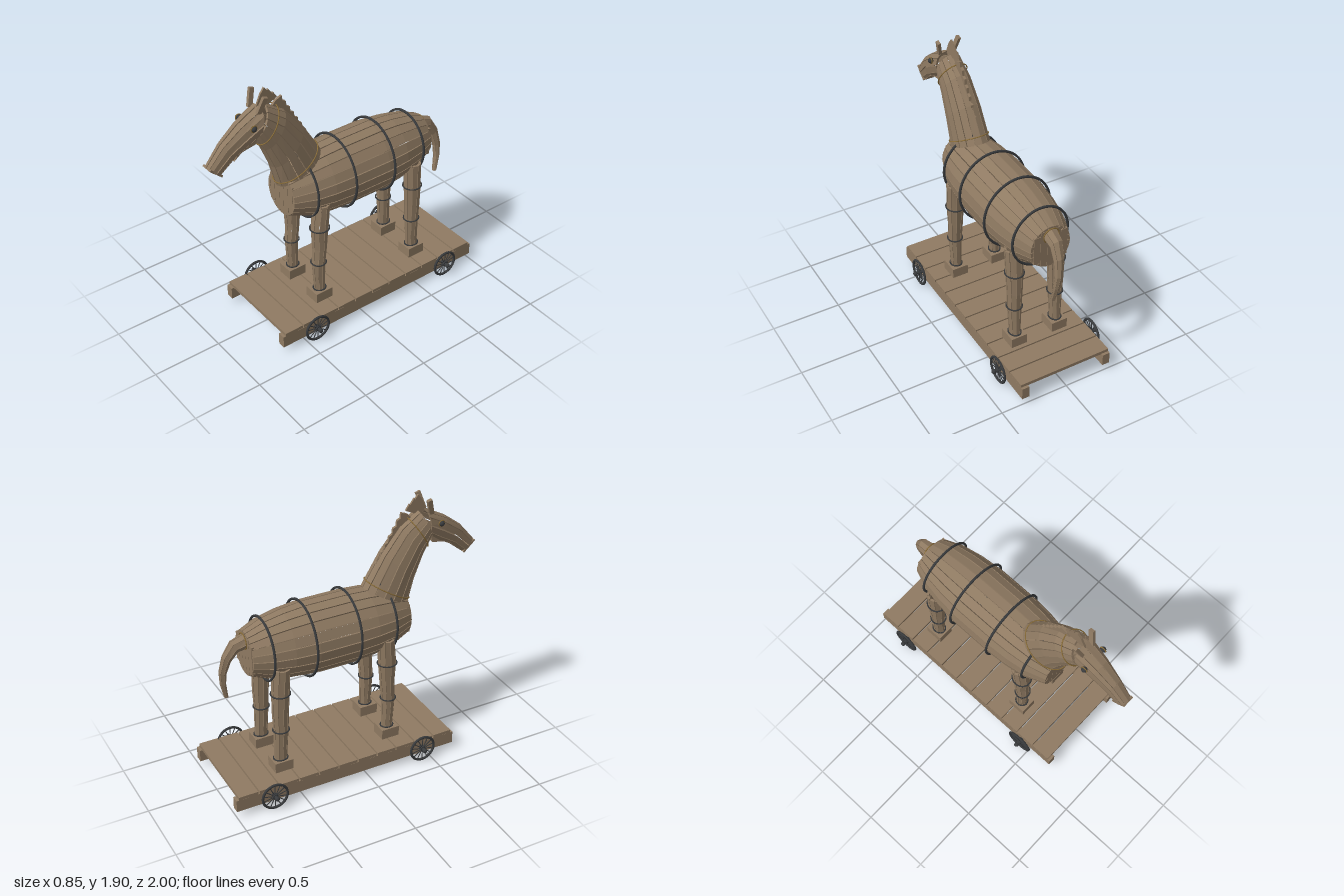
import * as THREE from 'three';

const wood = new THREE.MeshStandardMaterial({ color: 0x8f7a62 });
wood.name = 'wood';
const iron = new THREE.MeshStandardMaterial({ color: 0x393b3d });
iron.name = 'iron';
const rope = new THREE.MeshStandardMaterial({ color: 0x8c6f3a });
rope.name = 'rope';

function add(parent, name, geo, mat, x = 0, y = 0, z = 0) {
  const m = new THREE.Mesh(geo, mat);
  m.name = name;
  m.position.set(x, y, z);
  parent.add(m);
  return m;
}
const box = (w, h, d) => new THREE.BoxGeometry(w, h, d);

// A section is [x, z1, y1, z2, y2, halfWidth]: an ellipse between two points of the side plane.
function pointOn([x, z1, y1, z2, y2, hw], a, inset, power = 1) {
  const hv = Math.hypot(z1 - z2, y1 - y2) / 2;
  const sq = (v) => Math.sign(v) * Math.abs(v) ** power;
  const s = sq(Math.sin(a)) * (hv - inset) / hv / 2;
  return new THREE.Vector3(
    x + sq(Math.cos(a)) * (hw - inset),
    (y1 + y2) / 2 + s * (y1 - y2),
    (z1 + z2) / 2 + s * (z1 - z2));
}

// Separate flat planks around a row of sections, with open gaps between them
function staves(sections, n, gap, thick, power = 1) {
  const [A, B] = sections;
  const w = [(B[2] + B[4] - A[2] - A[4]), (B[1] + B[3] - A[1] - A[3])];
  const flip = -(A[1] - A[3]) * w[0] + (A[2] - A[4]) * w[1] < 0;
  const pos = [];
  const tri = (a, b, c) => { for (const p of flip ? [a, c, b] : [a, b, c]) pos.push(p.x, p.y, p.z); };
  const quad = (a, b, c, d) => { tri(a, b, c); tri(a, c, d); };
  for (let i = 0; i < n; i++) {
    const a0 = (i + gap / 2) / n * Math.PI * 2, a1 = (i + 1 - gap / 2) / n * Math.PI * 2;
    const rings = sections.map((s) => [
      pointOn(s, a0, 0, power), pointOn(s, a1, 0, power),
      pointOn(s, a1, thick, power), pointOn(s, a0, thick, power)]);
    for (let k = 0; k + 1 < rings.length; k++) {
      const p = rings[k], q = rings[k + 1];
      for (let j = 0; j < 4; j++) {
        const m = (j + 1) % 4;
        quad(p[j], p[m], q[m], q[j]);
      }
    }
    const s = rings[0], e = rings[rings.length - 1];
    quad(s[3], s[2], s[1], s[0]);
    quad(e[0], e[1], e[2], e[3]);
  }
  const g = new THREE.BufferGeometry();
  g.setAttribute('position', new THREE.Float32BufferAttribute(pos, 3));
  g.computeVertexNormals();
  return g;
}

// A hoop following a section
function hoop(section, tube, out = 0.004) {
  const pts = [];
  for (let i = 0; i < 24; i++) pts.push(pointOn(section, i / 24 * Math.PI * 2, -out));
  return new THREE.TubeGeometry(new THREE.CatmullRomCurve3(pts, true), 48, tube, 6, true);
}

// A thin plate cut from an outline in the side plane (z, y)
function sidePlate(outline, t) {
  const g = new THREE.ExtrudeGeometry(
    new THREE.Shape(outline.map(([z, y]) => new THREE.Vector2(z, y))), { depth: t, bevelEnabled: false });
  return g.translate(0, 0, -t / 2).rotateY(-Math.PI / 2);
}

function makeCart() {
  const g = new THREE.Group();
  g.name = 'cart';
  for (const s of [-1, 1]) add(g, 'rail', box(0.055, 0.09, 1.69), wood, s * 0.318, 0.095, -0.153);
  for (let i = 0; i < 11; i++) add(g, 'deckPlank', box(0.69, 0.025, 0.141), wood, 0, 0.15, -0.908 + i * 0.151);
  for (const z of [0.425, -0.728]) {
    add(g, 'axle', new THREE.CylinderGeometry(0.013, 0.013, 0.8, 10).rotateZ(Math.PI / 2), iron, 0, 0.104, z);
    for (const s of [-1, 1]) {
      add(g, 'axleKnob', new THREE.SphereGeometry(0.017, 12, 8), iron, s * 0.407, 0.104, z);
      const wheel = new THREE.Group();
      wheel.name = 'wheel';
      wheel.position.set(s * 0.375, 0.104, z);
      wheel.rotation.y = Math.PI / 2;
      add(wheel, 'rim', new THREE.TorusGeometry(0.092, 0.009, 8, 32), iron);
      add(wheel, 'hub', new THREE.CylinderGeometry(0.02, 0.02, 0.022, 12).rotateX(Math.PI / 2), iron);
      for (let i = 0; i < 14; i++) {
        add(wheel, 'spoke', new THREE.CylinderGeometry(0.0035, 0.0035, 0.09, 5).translate(0, 0.047, 0), iron)
          .rotation.z = i / 14 * Math.PI * 2;
      }
      g.add(wheel);
    }
  }
  return g;
}

function makeBody() {
  const g = new THREE.Group();
  g.name = 'body';
  const ring = (z, r) => [0, z, 1.04 + r, z, 1.04 - r, r * 0.925];
  const profile = [[-0.745, 0.16], [-0.62, 0.212], [-0.47, 0.243], [-0.3, 0.26], [0, 0.26], [0.15, 0.25], [0.29, 0.226], [0.44, 0.163]];
  add(g, 'hullStaves', staves(profile.map(([z, r]) => ring(z, r)), 22, 0.1, 0.02), wood);
  for (const [z, r] of [[0.29, 0.23], [0, 0.268], [-0.33, 0.268], [-0.62, 0.222]])
    add(g, 'hullHoop', hoop(ring(z, r), 0.009), iron);
  // upright boards closing both ends
  for (const z of [0.43, -0.738]) {
    for (let i = -2; i <= 2; i++) {
      const h = 2 * Math.sqrt(0.145 ** 2 - (i * 0.05) ** 2);
      add(g, 'endBoard', box(0.048, h, 0.02), wood, i * 0.05, 1.04, z);
    }
  }
  // belly hatch
  for (const x of [-0.045, 0, 0.045]) add(g, 'hatchBoard', box(0.043, 0.014, 0.27), wood, x, 0.78, -0.095);
  return g;
}

function makeLeg(side, rows) {
  const g = new THREE.Group();
  g.name = 'leg';
  const at = ([y, z0, z1, hw]) => [side * 0.16, z1, y, z0, y, hw];
  add(g, 'legStaves', staves(rows.map(at), 10, 0.1, 0.016), wood);
  for (const i of [0, 2, 4]) add(g, 'legBand', hoop(at(rows[i]), 0.005), iron);
  const z = (rows[0][1] + rows[0][2]) / 2;
  add(g, 'hoof', box(0.12, 0.075, 0.135), wood, side * 0.16, 0.2, z);
  return g;
}

function makeNeckAndHead() {
  const g = new THREE.Group();
  g.name = 'neckAndHead';
  add(g, 'neckStaves', staves([
    [0, 0.135, 1.3, 0.475, 1.12, 0.125],
    [0, 0.275, 1.53, 0.52, 1.29, 0.117],
    [0, 0.41, 1.695, 0.585, 1.45, 0.105],
    [0, 0.55, 1.785, 0.65, 1.575, 0.092]], 16, 0.1, 0.018), wood);
  add(g, 'neckRope', hoop([0, 0.47, 1.745, 0.617, 1.51, 0.1], 0.004), rope);
  add(g, 'collarRope', hoop([0, 0.165, 1.345, 0.482, 1.155, 0.123], 0.004), rope);

  add(g, 'headStaves', staves([
    [0, 1.0, 1.475, 0.91, 1.395, 0.046],
    [0, 0.89, 1.605, 0.81, 1.475, 0.058],
    [0, 0.76, 1.705, 0.7, 1.535, 0.076],
    [0, 0.6, 1.79, 0.625, 1.59, 0.09]], 12, 0.1, 0.015, 0.8), wood);
  add(g, 'muzzleBoard', box(0.085, 0.115, 0.014), wood, 0, 1.437, 0.951).rotation.x = 0.84;
  add(g, 'jaw', sidePlate([[0.82, 1.475], [0.76, 1.52], [0.65, 1.54], [0.635, 1.6], [0.74, 1.57]], 0.09), wood);
  for (const s of [-1, 1]) {
    add(g, 'eye', new THREE.SphereGeometry(0.02, 14, 10), iron, s * 0.088, 1.69, 0.69);
    add(g, 'eyeRing', new THREE.TorusGeometry(0.021, 0.004, 6, 18).rotateY(Math.PI / 2), rope, s * 0.088, 1.69, 0.69);
    add(g, 'ear', box(0.022, 0.125, 0.035), wood, s * 0.064, 1.82, 0.61).rotation.set(-0.3, 0, -s * 0.22);
  }

  // saw-edged mane and forelock crest
  const mane = [[0.5, 1.74], [0.47, 1.775]];
  for (let i = 0; i < 6; i++) {
    const z = 0.42 - i * 0.03, y = 1.795 - i * 0.052;
    mane.push([z, y], [z - 0.004, y - 0.04]);
  }
  mane.push([0.23, 1.46], [0.3, 1.53], [0.41, 1.66]);
  add(g, 'mane', sidePlate(mane, 0.018), wood);
  add(g, 'crest', sidePlate([[0.62, 1.77], [0.58, 1.86], [0.55, 1.9], [0.525, 1.87], [0.52, 1.88],
    [0.49, 1.835], [0.485, 1.845], [0.455, 1.8], [0.53, 1.765]], 0.014), wood);
  return g;
}

function makeTail() {
  const g = new THREE.Group();
  g.name = 'tail';
  const rows = [
    [0, -0.735, 1.19, -0.735, 1.08, 0.055],
    [0.003, -0.84, 1.15, -0.795, 1.065, 0.046],
    [0.015, -0.9, 1.045, -0.84, 1.0, 0.036],
    [0.03, -0.924, 0.92, -0.868, 0.905, 0.028],
    [0.042, -0.915, 0.82, -0.87, 0.815, 0.023],
    [0.052, -0.887, 0.705, -0.855, 0.7, 0.017]];
  add(g, 'tailStaves', staves(rows, 8, 0.08, 0.01), wood);
  add(g, 'tailRope', hoop([0, -0.755, 1.187, -0.75, 1.08, 0.053], 0.004), rope);
  return g;
}

export function createModel() {
  const model = new THREE.Group();
  model.name = 'woodenHorse';
  model.add(makeCart(), makeBody(), makeNeckAndHead(), makeTail());
  // leg rows: height, back z, front z, half width
  const front = [[0.24, 0.21, 0.292, 0.038], [0.36, 0.208, 0.3, 0.043], [0.47, 0.208, 0.306, 0.049],
    [0.6, 0.195, 0.3, 0.053], [0.76, 0.181, 0.31, 0.06], [0.96, 0.172, 0.29, 0.067]];
  const rear = [[0.24, -0.628, -0.535, 0.038], [0.36, -0.626, -0.528, 0.043], [0.47, -0.625, -0.52, 0.049],
    [0.6, -0.632, -0.515, 0.053], [0.76, -0.632, -0.505, 0.06], [0.96, -0.62, -0.497, 0.067]];
  for (const side of [-1, 1]) model.add(makeLeg(side, front), makeLeg(side, rear));
  return model;
}
